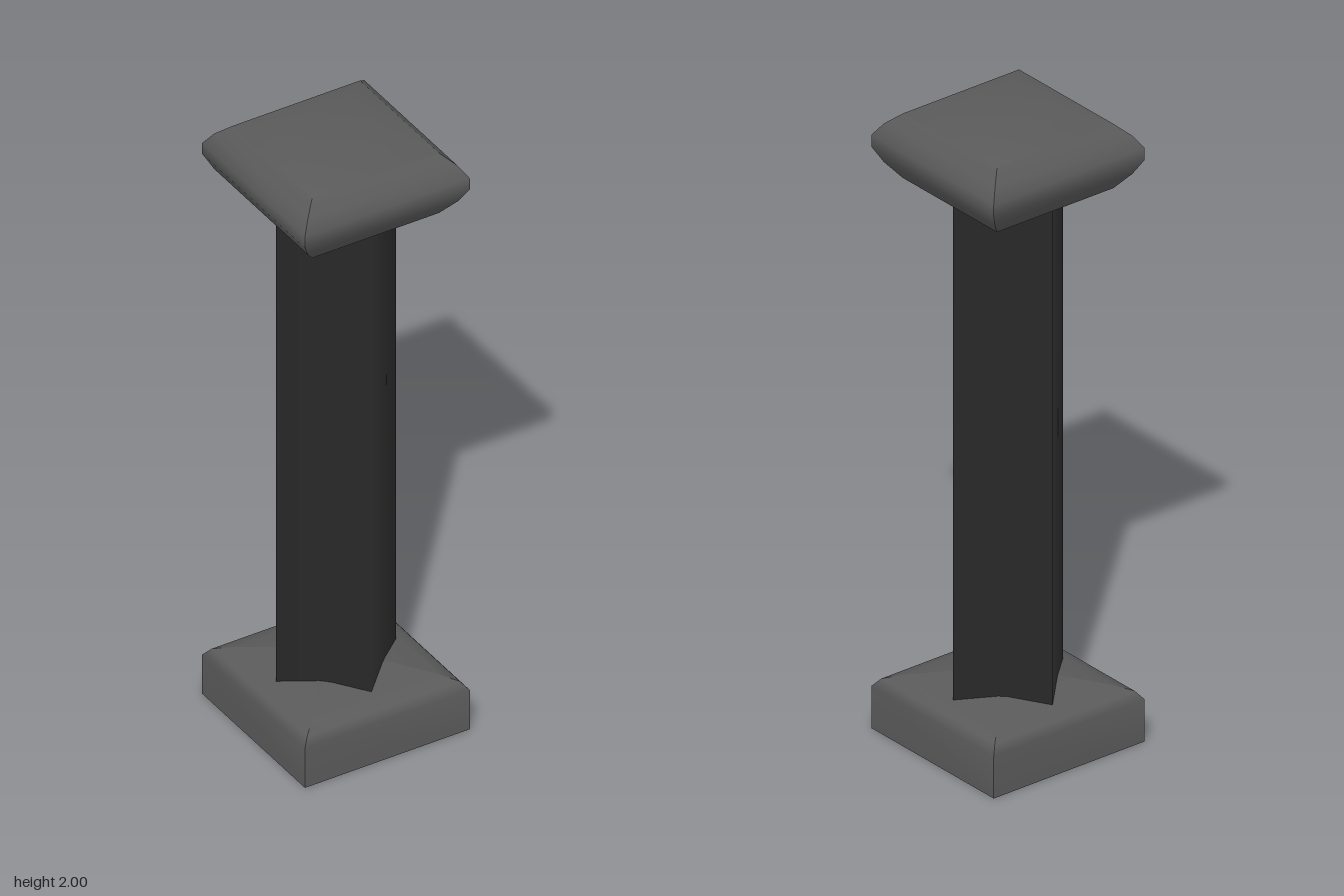
import * as THREE from 'three';

const stone = new THREE.MeshStandardMaterial({ color: 0x5a5a5a });
stone.name = 'grey stone';
const darkStone = new THREE.MeshStandardMaterial({ color: 0x2b2b2b });
darkStone.name = 'dark stone';

// Profile of [half width, height], listed from bottom to top, for a square section
const squareProfile = (points) => points.map(([h, y]) => new THREE.Vector2(h * Math.SQRT2, y));

function addMesh(parent, name, geometry, material) {
  const mesh = new THREE.Mesh(geometry, material);
  mesh.name = name;
  parent.add(mesh);
}

// Four sides rounded along the profile and sharply mitred at the corners
function addMitredSides(parent, name, points) {
  for (let i = 0; i < 4; i++) {
    const side = new THREE.LatheGeometry(squareProfile(points), 1, Math.PI / 4 + i * Math.PI / 2, Math.PI / 2);
    side.computeVertexNormals();
    addMesh(parent, name + (i + 1), side, stone);
  }
}

// Square face closing the top or bottom, smooth across its corners
function addSquareFace(parent, name, points) {
  addMesh(parent, name, new THREE.LatheGeometry(squareProfile(points), 4, Math.PI / 4), stone);
}

export function createModel() {
  const column = new THREE.Group();
  column.name = 'column';

  // Base: straight plinth with a softly rising top
  const base = new THREE.Group();
  base.name = 'base';
  addSquareFace(base, 'baseUnderside', [[0, 0], [0.275, 0]]);
  addMitredSides(base, 'baseSide', [
    [0.275, 0], [0.275, 0.135], [0.255, 0.16], [0.212, 0.175], [0.11, 0.197], [0, 0.2],
  ]);

  // Shaft: four-sided with corners on the axes, slightly shallower at the front
  const shaft = new THREE.CylinderGeometry(0.2, 0.2, 1.7, 4, 1, true);
  shaft.translate(0, 0.95, 0);
  const pos = shaft.attributes.position;
  for (let i = 0; i < pos.count; i++) if (pos.getZ(i) > 0.1) pos.setZ(i, 0.19);
  addMesh(column, 'shaft', shaft, darkStone);

  // Capital: rounded square cushion
  const capital = new THREE.Group();
  capital.name = 'capital';
  addSquareFace(capital, 'capitalUnderside', [[0, 1.767], [0.212, 1.767]]);
  addMitredSides(capital, 'capitalSide', [
    [0.212, 1.767], [0.25, 1.815], [0.275, 1.862], [0.275, 1.9], [0.25, 1.938], [0.212, 1.973],
  ]);
  addSquareFace(capital, 'capitalTop', [[0.212, 1.973], [0.127, 2], [0, 2]]);

  column.add(base, capital);
  return column;
}
